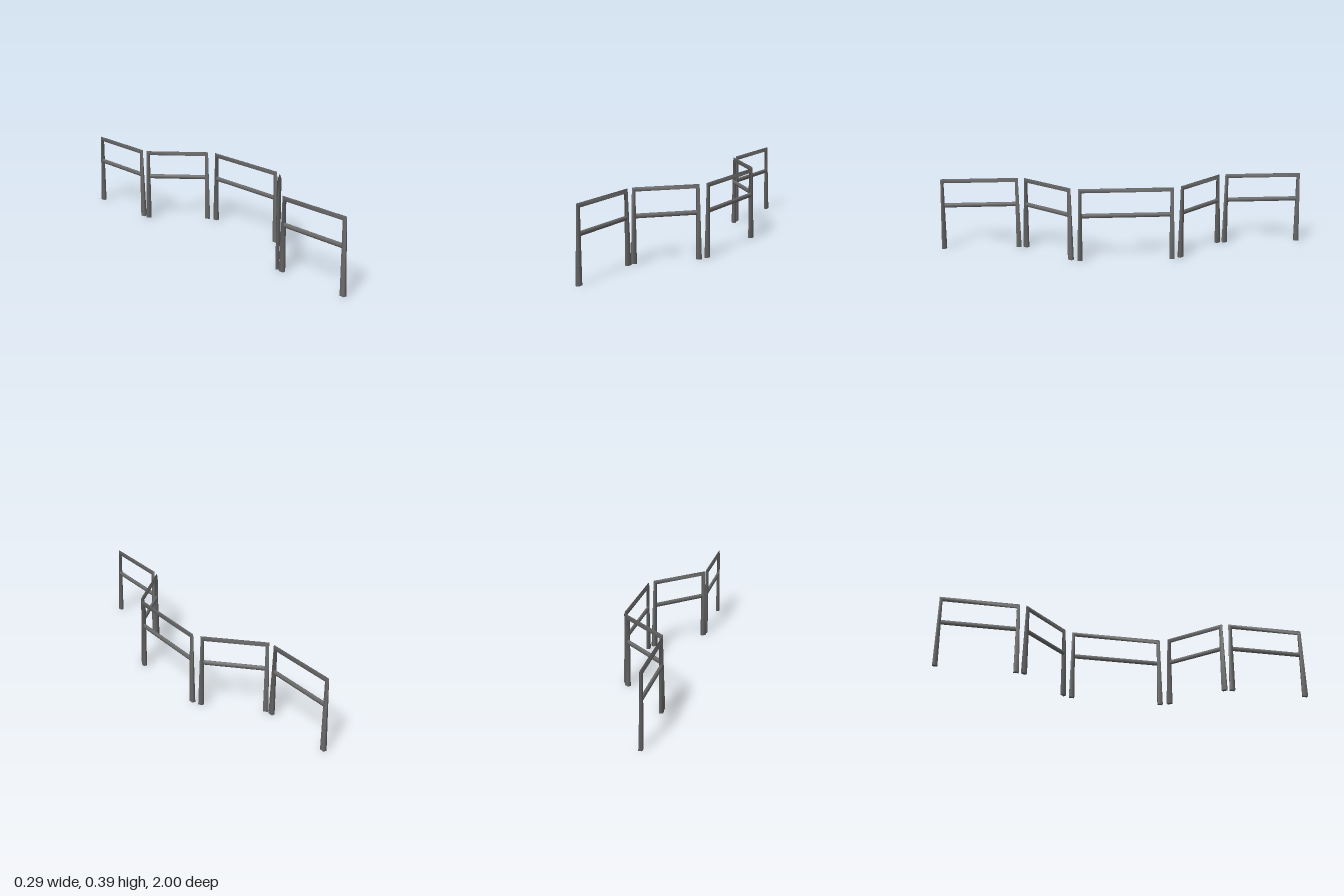
import * as THREE from 'three';

const material = new THREE.MeshStandardMaterial({ color: 0x6a6a6a });
const HALF_W = 0.0093; // half thickness of the frame

// Hoop of two tapered legs and a top rail, swept with mitred corners:
// blunt rectangular feet narrow upwards into a ridged, roof-shaped rail
function hoopGeometry(length) {
  const h = length / 2;
  const stations = [
    // side, outer inset, inner inset, outer y, inner y, outer half width
    [-1, 0, 0.027, 0, 0, HALF_W],
    [-1, 0.009, 0.025, 0.393, 0.373, 0.0008],
    [1, 0.009, 0.025, 0.393, 0.373, 0.0008],
    [1, 0, 0.027, 0, 0, HALF_W],
  ];
  const pos = [], index = [];
  for (const [side, outer, inner, yo, yi, w] of stations) {
    pos.push(side * (h - outer), yo, -w);
    pos.push(side * (h - outer), yo, w);
    pos.push(side * (h - inner), yi, HALF_W);
    pos.push(side * (h - inner), yi, -HALF_W);
  }
  for (let s = 0; s < 3; s++) {
    for (let j = 0; j < 4; j++) {
      const a = s * 4 + j, b = s * 4 + (j + 1) % 4, c = b + 4, d = a + 4;
      index.push(a, b, c, a, c, d);
    }
  }
  // feet, with their own vertices so their edges stay sharp
  pos.push(...pos.slice(0, 12), ...pos.slice(36, 48));
  index.push(16, 18, 17, 16, 19, 18, 20, 21, 22, 20, 22, 23);
  const geo = new THREE.BufferGeometry();
  geo.setAttribute('position', new THREE.Float32BufferAttribute(pos, 3));
  geo.setIndex(index);
  geo.computeVertexNormals();
  return geo;
}

function createPanel(name, length, x, z, angle) {
  const panel = new THREE.Group();
  panel.name = name;

  const hoop = new THREE.Mesh(hoopGeometry(length), material);
  hoop.name = 'hoopFrame';
  panel.add(hoop);

  // middle rail, slightly taller than thick
  const railGeo = new THREE.CylinderGeometry(0.0125, 0.0125, length - 0.05, 12);
  railGeo.rotateZ(Math.PI / 2);
  railGeo.scale(1, 1, 0.72);
  const rail = new THREE.Mesh(railGeo, material);
  rail.name = 'middleRail';
  rail.position.y = 0.2465;
  panel.add(rail);

  panel.position.set(x, 0, z);
  panel.rotation.y = angle;
  return panel;
}

export function createModel() {
  const model = new THREE.Group();
  model.name = 'barrierFence';

  model.add(createPanel('centrePanel', 0.52, 0.1345, 0, Math.PI / 2));
  for (const s of [1, -1]) {
    const end = s > 0 ? 'front' : 'back';
    model.add(createPanel(end + 'AngledPanel', 0.367, -0.008, s * 0.415, s * Math.PI / 4));
    model.add(createPanel(end + 'EndPanel', 0.437, -0.135, s * 0.7815, Math.PI / 2));
  }
  return model;
}
